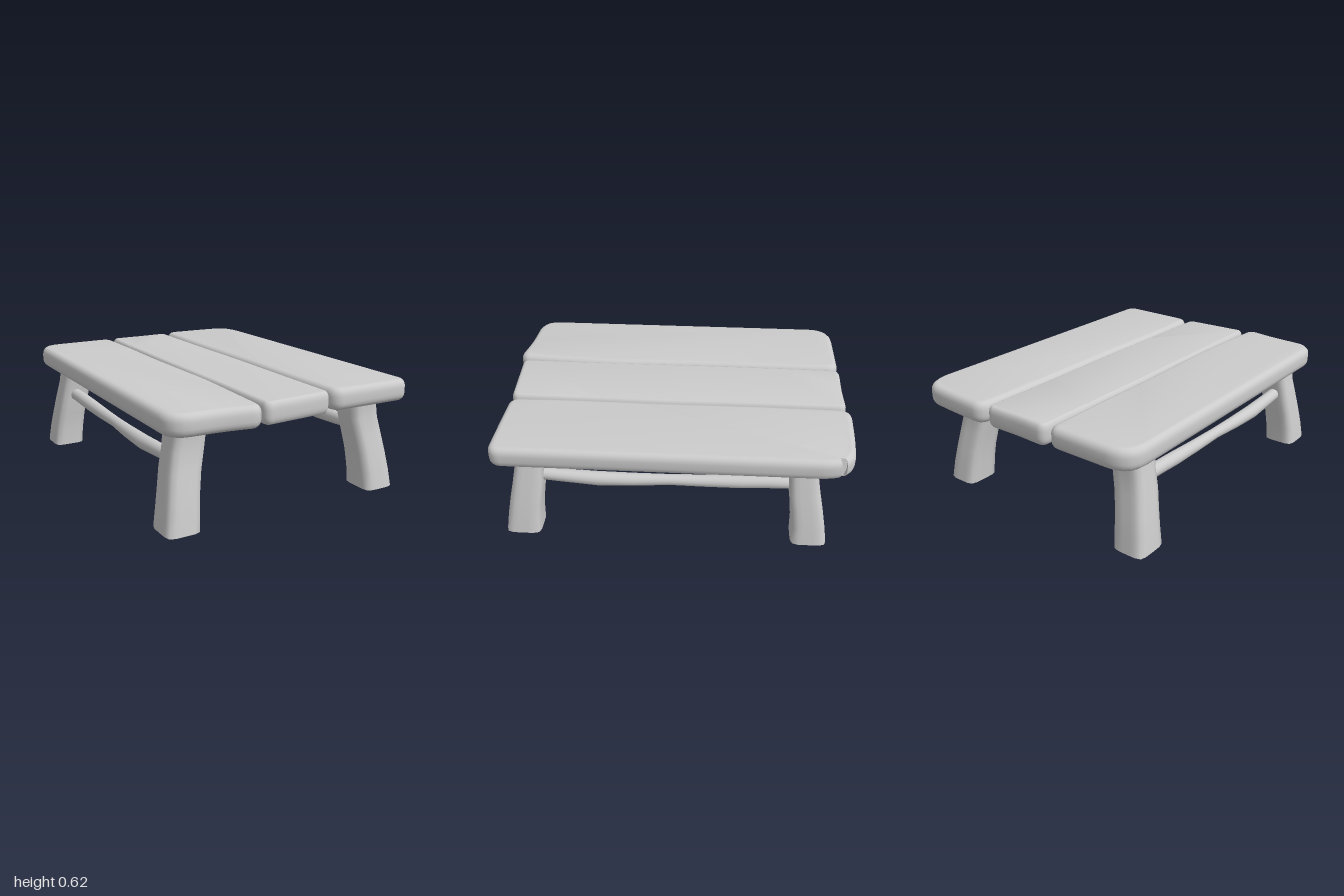
import * as THREE from 'three';
import { mergeVertices, toCreasedNormals } from 'three/addons/utils/BufferGeometryUtils.js';

const material = new THREE.MeshStandardMaterial({ color: 0xcccccc, side: THREE.DoubleSide });
const TOP = 0.62, THICK = 0.12;

function addMesh(group, name, geometry) {
  const mesh = new THREE.Mesh(geometry, material);
  mesh.name = name;
  group.add(mesh);
}

// Plank: hand-cut outline of [x, z, corner radius], extruded with rounded edges
function plankGeometry(outline, bevel, top = TOP) {
  const xs = outline.map(p => p[0]);
  const cx = (Math.min(...xs) + Math.max(...xs)) / 2;
  const half = (Math.max(...xs) - Math.min(...xs)) / 2;
  const pts = outline.map(([x, z]) =>
    new THREE.Vector2(cx + (x - cx) * (1 - bevel / half), z * (1 - bevel / 0.975)));
  const shape = new THREE.Shape();
  const n = pts.length;
  pts.forEach((p, i) => {
    const toward = q => p.clone().add(q.clone().sub(p).setLength(outline[i][2]));
    const a = toward(pts[(i + n - 1) % n]), b = toward(pts[(i + 1) % n]);
    if (i === 0) shape.moveTo(a.x, a.y); else shape.lineTo(a.x, a.y);
    shape.quadraticCurveTo(p.x, p.y, b.x, b.y);
  });
  shape.closePath();
  const rim = 0.042;
  const geo = new THREE.ExtrudeGeometry(shape, {
    depth: THICK - 2 * rim, bevelThickness: rim, bevelSize: bevel, bevelSegments: 4, curveSegments: 5,
  });
  geo.rotateX(Math.PI / 2).translate(0, top - rim, 0);
  return toCreasedNormals(geo, 0.7);
}

// Smooth skin through rows of rings; place(x, z, row) maps a unit-circle point to space
function loft(sides, rows, place) {
  const geo = new THREE.CylinderGeometry(1, 1, 1, sides, rows.length - 1, true);
  geo.deleteAttribute('uv');
  geo.deleteAttribute('normal');
  const pos = geo.attributes.position;
  for (let i = 0; i < pos.count; i++) {
    const row = rows[Math.round((0.5 - pos.getY(i)) * (rows.length - 1))];
    pos.setXYZ(i, ...place(pos.getX(i), pos.getZ(i), row));
  }
  const merged = mergeVertices(geo, 1e-5);
  merged.computeVertexNormals();
  return merged;
}

// Leg rows, top to bottom: y, inward x shift, inward z shift, half width, half depth
const LEG_ROWS = [
  [0.53, 0.08, 0.06, 0.085, 0.093],
  [0.48, 0.078, 0.058, 0.087, 0.088],
  [0.40, 0.066, 0.052, 0.09, 0.08],
  [0.30, 0.043, 0.04, 0.088, 0.086],
  [0.20, 0.025, 0.022, 0.088, 0.089],
  [0.10, 0.011, 0.008, 0.091, 0.093],
  [0, 0, 0, 0.093, 0.1],
];

function legGeometry(footX, footZ) {
  return loft(24, LEG_ROWS, (x, z, [y, inX, inZ, w, d]) => {
    // rounded-square section
    const k = 1 / Math.pow(x ** 6 + z ** 6, 1 / 6);
    return [
      footX - Math.sign(footX) * inX + x * k * w,
      y,
      footZ - Math.sign(footZ) * inZ + z * k * d,
    ];
  });
}

// Stretcher rows, front to back: z, sideways bend, y, radius
const ROD_ROWS = [
  [0.76, 0, 0.337, 0.035],
  [0.62, 0.004, 0.329, 0.037],
  [0.40, 0.01, 0.32, 0.041],
  [0.20, 0.008, 0.321, 0.037],
  [0, 0, 0.323, 0.031],
  [-0.20, -0.006, 0.32, 0.035],
  [-0.40, -0.008, 0.324, 0.039],
  [-0.55, -0.004, 0.334, 0.038],
  [-0.70, 0, 0.338, 0.036],
];

function rodGeometry(centerX) {
  return loft(14, ROD_ROWS, (x, z, [along, bend, y, r]) =>
    [centerX + Math.sign(centerX) * bend + x * r, y - z * r, along]);
}

export function createModel() {
  const group = new THREE.Group();
  group.name = 'table';

  // Three planks side by side
  addMesh(group, 'plankRight', plankGeometry([
    [-0.74, -0.975, 0.11], [-0.225, -0.975, 0.03], [-0.22, -0.6, 0.08], [-0.226, -0.2, 0.1],
    [-0.212, 0.4, 0.1], [-0.222, 0.6, 0.06], [-0.245, 1.0, 0.03], [-0.45, 0.968, 0.08],
    [-0.74, 0.955, 0.09],
  ], 0.036));
  addMesh(group, 'plankMiddle', plankGeometry([
    [-0.205, -0.98, 0.025], [0.0, -0.973, 0.06], [0.206, -0.978, 0.025], [0.204, -0.4, 0.1],
    [0.21, 0.05, 0.1], [0.203, 0.5, 0.1], [0.2, 0.945, 0.025], [-0.218, 0.968, 0.02],
    [-0.215, 0.5, 0.1], [-0.218, -0.2, 0.1], [-0.213, -0.7, 0.1],
  ], 0.022, 0.617));
  addMesh(group, 'plankLeft', plankGeometry([
    [0.222, -1.0, 0.04], [0.48, -0.99, 0.08], [0.69, -0.972, 0.06], [0.737, -0.88, 0.06],
    [0.737, 0.953, 0.04], [0.48, 0.95, 0.1], [0.222, 0.945, 0.03], [0.212, 0.6, 0.1],
    [0.22, 0.1, 0.1], [0.213, -0.5, 0.1],
  ], 0.034));

  // Splayed legs and a rod joining the legs of each side
  for (const [side, footX, rodX] of [['Left', 0.592, 0.55], ['Right', -0.645, -0.6]]) {
    addMesh(group, 'frontLeg' + side, legGeometry(footX, 0.83));
    addMesh(group, 'backLeg' + side, legGeometry(footX, -0.78));
    addMesh(group, 'stretcher' + side, rodGeometry(rodX));
  }
  return group;
}
